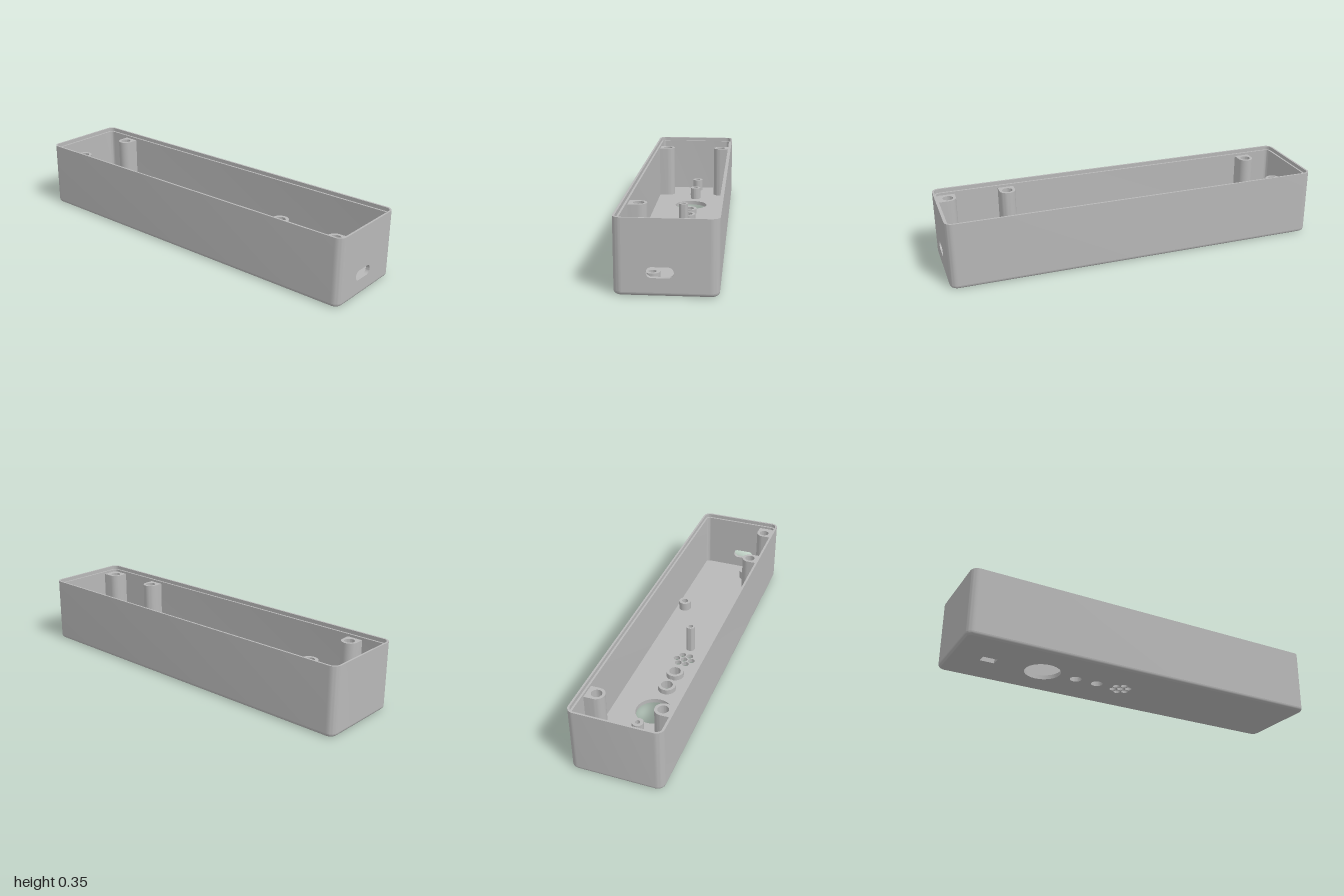
import * as THREE from 'three';
import { toCreasedNormals } from 'three/addons/utils/BufferGeometryUtils.js';

const HX = 0.235, HZ = 1, H = 0.355;   // half width, half length, height
const R = 0.04, FILLET = 0.018;        // upright corner radius, bottom edge radius
const WALL = 0.02, LIP = 0.01, STEP = 0.335, FLOOR = 0.022;

const grey = new THREE.MeshStandardMaterial({ color: 0xb8b8b8 });
grey.name = 'grey plastic';

function add(group, name, geometry) {
  const mesh = new THREE.Mesh(toCreasedNormals(geometry, 0.6), grey);
  mesh.name = name;
  group.add(mesh);
}

// Extrude a plan shape drawn in (x, z) between two heights
function plan(shape, y0, y1) {
  const g = new THREE.ExtrudeGeometry(shape, { depth: y1 - y0, bevelEnabled: false, curveSegments: 16 });
  return g.rotateX(Math.PI / 2).translate(0, y1, 0);
}

function circle(x, z, r, Type = THREE.Path) {
  return new Type().absarc(x, z, r, 0, Math.PI * 2, false);
}

// Rounded rectangle path inset by d, starting and ending beside the front wall
function outline(d) {
  const pts = [];
  for (let k = 1; k <= 4; k++) {
    const mid = (k + 0.5) * Math.PI / 2;
    const cx = Math.sign(Math.cos(mid)) * (HX - R), cz = Math.sign(Math.sin(mid)) * (HZ - R);
    for (let i = 0; i <= 8; i++) {
      const a = (k + i / 8) * Math.PI / 2;
      pts.push([cx + (R - d) * Math.cos(a), cz + (R - d) * Math.sin(a)]);
    }
  }
  return pts;
}

// Sweep a profile of [inset, height] points around the outline
function sweep(profile, closed) {
  const pos = [];
  const rings = profile.map(([d, y]) => {
    const ring = outline(d).map(([x, z]) => [x, y, z]);
    if (closed) ring.push(ring[0]);
    return ring;
  });
  for (let j = 0; j < rings.length - 1; j++) {
    for (let i = 0; i < rings[j].length - 1; i++) {
      const a = rings[j][i], b = rings[j + 1][i], c = rings[j + 1][i + 1], d = rings[j][i + 1];
      pos.push(...a, ...b, ...c, ...a, ...c, ...d);
    }
  }
  const g = new THREE.BufferGeometry();
  g.setAttribute('position', new THREE.Float32BufferAttribute(pos, 3));
  return g;
}

function boss(x, z, r, hole, y1) {
  const s = circle(x, z, r, THREE.Shape);
  s.holes.push(circle(x, z, hole));
  return plan(s, FLOOR - 0.004, y1);
}

// Screw post joined to a side wall, optionally squared off into the front corner
function screwPost(side, z, corner) {
  const cx = 0.167, r = 0.042, wall = HX - WALL + 0.004;
  const s = new THREE.Shape();
  s.moveTo(side * wall, z - r).lineTo(side * cx, z - r);
  for (let i = 1; i <= 16; i++) {
    const a = (i / 16) * (corner ? Math.PI / 2 : Math.PI);
    s.lineTo(side * (cx - r * Math.sin(a)), z - r * Math.cos(a));
  }
  if (corner) s.lineTo(side * (cx - r), HZ - WALL + 0.004);
  s.lineTo(side * wall, corner ? HZ - WALL + 0.004 : z + r);
  s.closePath();
  s.holes.push(circle(side * cx, z, 0.027));
  return plan(s, FLOOR - 0.004, 0.322);
}

export function createModel() {
  const model = new THREE.Group();
  model.name = 'enclosure';

  // Floor with its openings
  const floor = new THREE.Shape(outline(FILLET).map(([x, z]) => new THREE.Vector2(x, z)));
  const slot = new THREE.Path();
  slot.moveTo(-0.024, -0.845).lineTo(0.024, -0.845).lineTo(0.024, -0.77).lineTo(-0.024, -0.77).closePath();
  floor.holes.push(slot, circle(0, -0.518, 0.094), circle(0, -0.33, 0.031), circle(0, -0.208, 0.031));
  floor.holes.push(circle(0, -0.065, 0.018));
  for (let i = 0; i < 6; i++) {
    const a = i * Math.PI / 3;
    floor.holes.push(circle(0.042 * Math.cos(a), -0.065 + 0.042 * Math.sin(a), 0.018));
  }
  add(model, 'floor', plan(floor, 0, FLOOR));

  // Rounded bottom edge
  const edge = [];
  for (let i = 0; i <= 6; i++) {
    const a = i / 6 * Math.PI / 2;
    edge.push([FILLET * (1 - Math.sin(a)), FILLET * (1 - Math.cos(a))]);
  }
  add(model, 'bottomEdge', sweep(edge, true));

  // Side and back walls with stepped rim
  add(model, 'walls', sweep([[0, FILLET], [0, H], [LIP, H], [LIP, STEP], [WALL, STEP],
    [WALL, FILLET], [0, FILLET]], false));

  // Front wall with the cable slot
  const w = HX - R;
  const front = new THREE.Shape();
  front.moveTo(-w, FILLET).lineTo(w, FILLET).lineTo(w, STEP).lineTo(-w, STEP).closePath();
  const port = new THREE.Path();
  port.absarc(0.011, 0.11, 0.025, -Math.PI / 2, Math.PI / 2, false);
  port.absarc(-0.062, 0.11, 0.025, Math.PI / 2, Math.PI * 1.5, false);
  port.closePath();
  front.holes.push(port);
  add(model, 'frontWall', new THREE.ExtrudeGeometry(front, { depth: WALL, bevelEnabled: false, curveSegments: 12 })
    .translate(0, 0, HZ - WALL));
  add(model, 'frontLip', new THREE.BoxGeometry(2 * w, H - STEP, LIP)
    .translate(0, (H + STEP) / 2, HZ - LIP / 2));

  // Tall screw posts
  add(model, 'backRightPost', screwPost(-1, -0.805, false));
  add(model, 'backLeftPost', screwPost(1, -0.805, false));
  add(model, 'middleRightPost', screwPost(-1, 0.61, false));
  add(model, 'frontRightPost', screwPost(-1, 0.925, true));

  // Board standoffs: x, z, radius, hole radius, top height
  const standoffs = [
    [0.016, -0.92, 0.03, 0.013, 0.09], [0.016, -0.69, 0.03, 0.013, 0.09],
    [0, 0.042, 0.024, 0.013, 0.175],
    [0.167, 0.415, 0.035, 0.018, 0.07], [-0.073, 0.865, 0.035, 0.018, 0.07],
  ];
  for (const s of standoffs) add(model, 'standoff', boss(...s));

  // Collars around the two button holes
  for (const z of [-0.33, -0.208]) add(model, 'buttonCollar', boss(0, z, 0.047, 0.031, 0.05));

  return model;
}
